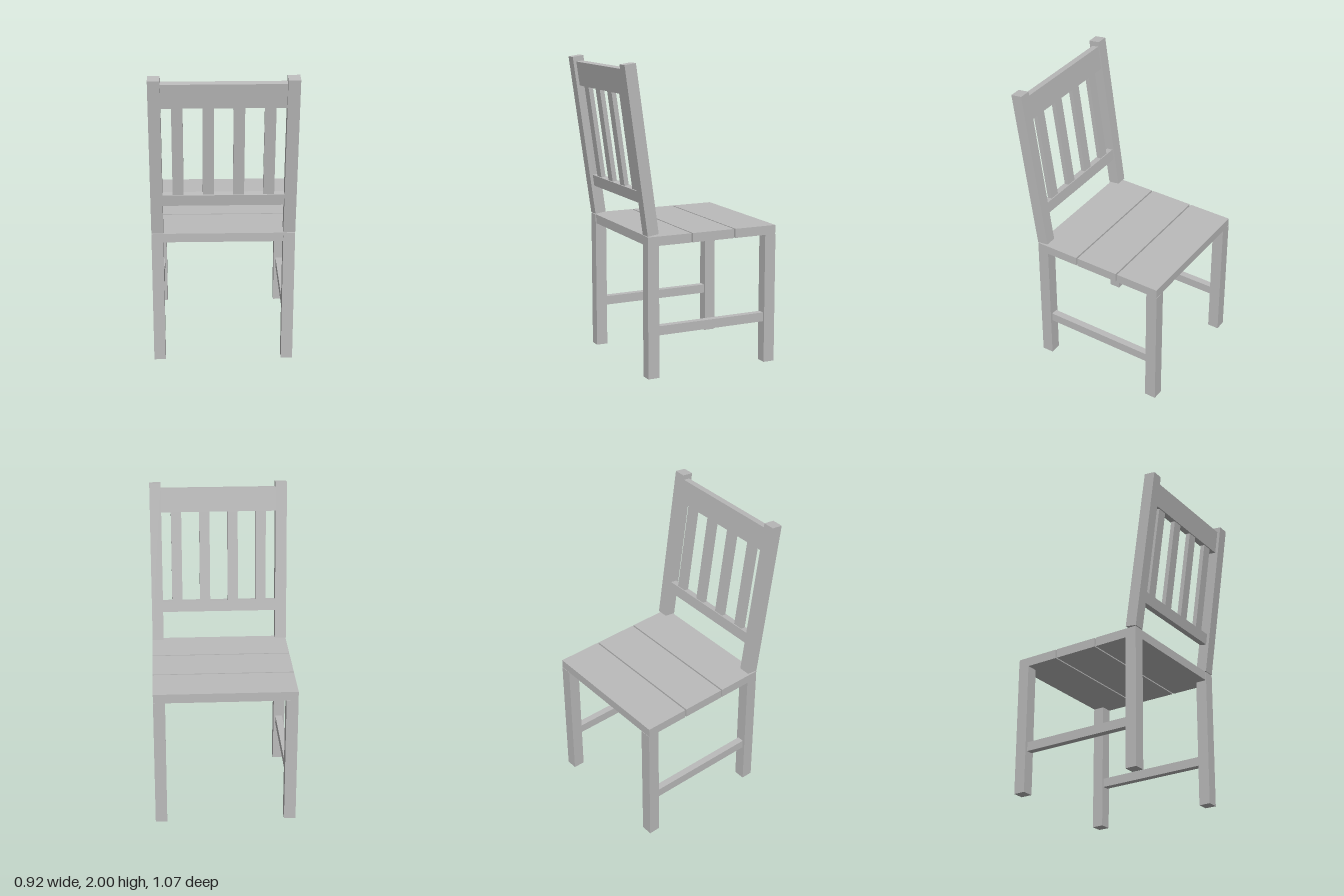
import * as THREE from 'three';

export function createModel() {
  const model = new THREE.Group();
  model.name = 'chair';
  const grey = new THREE.MeshStandardMaterial({ color: 0xbbbbbb });
  grey.name = 'grey wood';

  const box = (parent, name, [w, h, d], [x, y, z]) => {
    const mesh = new THREE.Mesh(new THREE.BoxGeometry(w, h, d), grey);
    mesh.name = name;
    mesh.position.set(x, y, z);
    parent.add(mesh);
  };

  // Seat boards, separated by narrow gaps
  for (const [z0, z1] of [[-0.531, -0.235], [-0.225, 0.072], [0.082, 0.381]]) {
    box(model, 'seatBoard', [0.92, 0.06, z1 - z0], [0, 0.89, (z0 + z1) / 2]);
  }

  // Tilted backrest, hinged at the rear of the seat
  const backrest = new THREE.Group();
  backrest.name = 'backrest';
  backrest.position.set(0, 0.93, 0.348);
  backrest.rotation.x = 0.14;
  model.add(backrest);

  // Legs, side stretchers and back posts on both sides
  for (const side of [-1, 1]) {
    const x = side * 0.422;
    box(model, 'frontLeg', [0.076, 0.86, 0.077], [x, 0.43, -0.4945]);
    box(model, 'backLeg', [0.076, 0.92, 0.077], [x, 0.46, 0.3465]);
    box(model, 'sideStretcher', [0.046, 0.06, 0.77], [side * 0.42, 0.305, -0.074]);
    box(backrest, 'backPost', [0.076, 1.076, 0.076], [x, 0.538, 0]);
  }

  // Cross rails and upright slats
  box(backrest, 'lowerRail', [0.77, 0.075, 0.045], [0, 0.232, -0.005]);
  box(backrest, 'topRail', [0.77, 0.16, 0.045], [0, 0.962, -0.005]);
  for (const x of [-0.285, -0.095, 0.095, 0.285]) {
    box(backrest, 'backSlat', [0.07, 0.62, 0.03], [x, 0.575, -0.005]);
  }
  return model;
}
